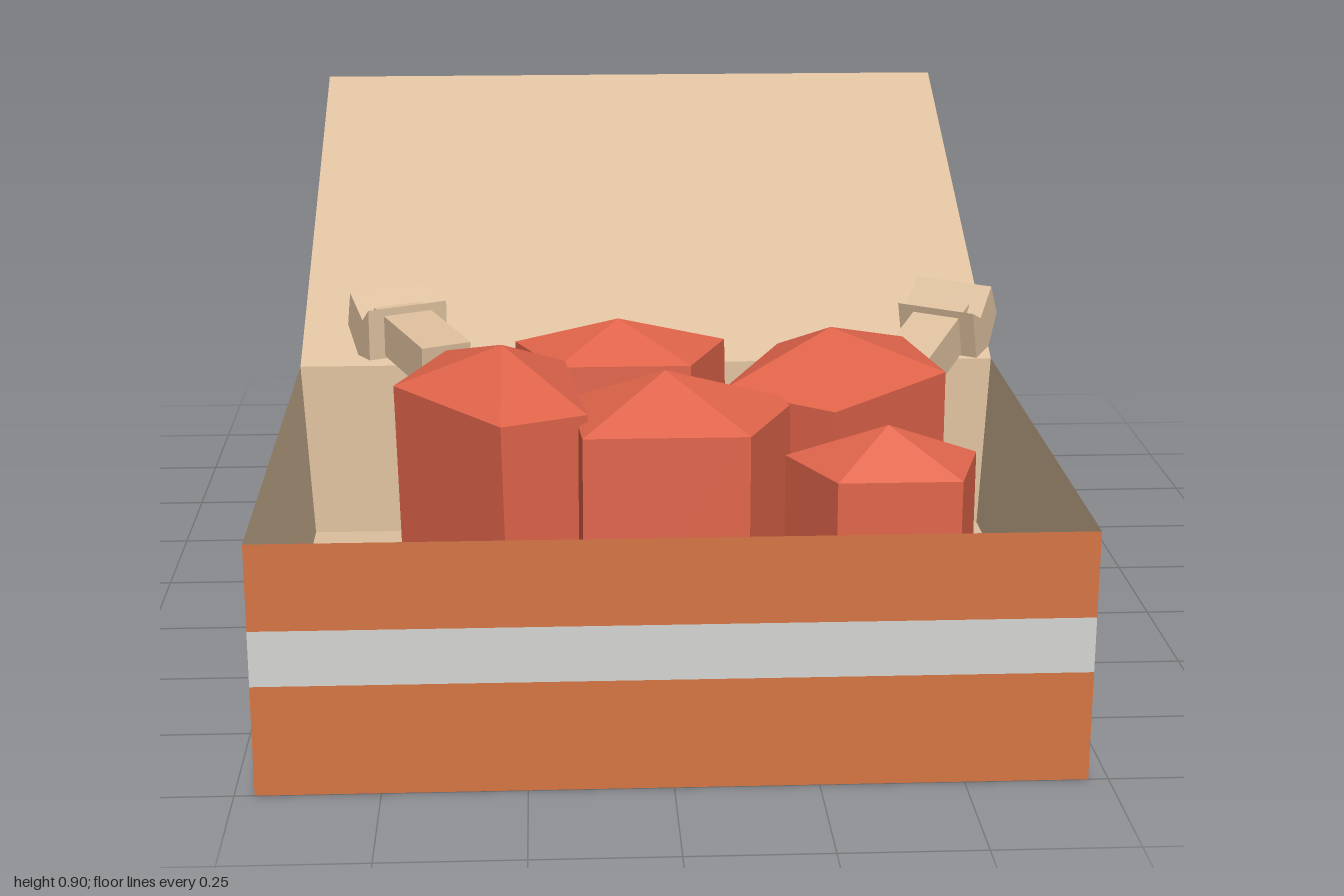
import * as THREE from 'three';

const material = (name, color, side = THREE.FrontSide) => {
  const m = new THREE.MeshStandardMaterial({ color, side, flatShading: true });
  m.name = name;
  return m;
};

const W = 1.43, D = 1.04, H = 0.455, CZ = 0.48, FLOOR = 0.1;

// Open four-sided wall ring; inset narrows its lower edge
function wallRing(y0, y1, inset) {
  const g = new THREE.CylinderGeometry(Math.SQRT1_2, Math.SQRT1_2, 1, 4, 1, true).rotateY(Math.PI / 4);
  const p = g.attributes.position;
  for (let i = 0; i < p.count; i++) {
    const low = p.getY(i) < 0;
    const k = low ? 2 * inset : 0;
    p.setXYZ(i, Math.sign(p.getX(i)) * (W - k) / 2, low ? y0 : y1, CZ + Math.sign(p.getZ(i)) * (D - k) / 2);
  }
  g.computeVertexNormals();
  return g;
}

// Five-sided chunk: pointed cap over straight sides.
// ring holds [x, z] clockwise from above; shift moves the foot
function chunkGeometry(apex, eave, ring, shift) {
  const v = [];
  ring.forEach(([x, z], i) => {
    const [x2, z2] = ring[(i + 1) % ring.length];
    const a = [x, eave, z], b = [x2, eave, z2];
    const c = [x + shift[0], FLOOR, z + shift[1]], d = [x2 + shift[0], FLOOR, z2 + shift[1]];
    v.push(...apex, ...b, ...a, ...a, ...b, ...d, ...a, ...d, ...c);
  });
  const g = new THREE.BufferGeometry();
  g.setAttribute('position', new THREE.Float32BufferAttribute(v, 3));
  g.computeVertexNormals();
  return g;
}

export function createModel() {
  const model = new THREE.Group();
  const orange = material('orange shell', 0xd67543, THREE.DoubleSide);
  const grey = material('grey band', 0xd5d5d3, THREE.DoubleSide);
  const tan = material('tan', 0xdcbf9d, THREE.DoubleSide);
  const red = material('red', 0xe0644a);

  const add = (parent, name, geometry, mat) => {
    const mesh = new THREE.Mesh(geometry, mat);
    mesh.name = name;
    parent.add(mesh);
    return mesh;
  };

  // Box shell with a band round the middle, lined inside
  add(model, 'lowerWalls', wallRing(0, 0.2, 0), orange);
  add(model, 'bandWalls', wallRing(0.2, 0.3, 0), grey);
  add(model, 'upperWalls', wallRing(0.3, H, 0), orange);
  add(model, 'liningWalls', wallRing(FLOOR, H, 0.02), tan);
  const floor = add(model, 'boxFloor', new THREE.PlaneGeometry(W - 0.04, D - 0.04).rotateX(-Math.PI / 2), tan);
  floor.position.set(0, FLOOR, CZ);

  // Open lid hinged on the back edge
  const lid = new THREE.Group();
  lid.name = 'lid';
  lid.position.set(0, H, -0.04);
  lid.rotation.x = 0.437;
  const slab = add(lid, 'lidSlab', new THREE.BoxGeometry(W, 0.035, 1.043),
    [orange, orange, tan, orange, orange, tan]);
  slab.position.set(0, -0.0175, -0.5215);
  model.add(lid);

  // Chunks filling the box
  const chunks = [
    ['leftFrontChunk', [-0.29, 0.67, 0.57], 0.592,
      [[-0.4, 0.33], [-0.175, 0.41], [-0.14, 0.75], [-0.29, 0.815], [-0.487, 0.56]], [0.01, -0.02]],
    ['backChunk', [-0.07, 0.628, 0.245], 0.57,
      [[-0.07, 0.06], [0.14, 0.195], [0.063, 0.38], [-0.19, 0.38], [-0.27, 0.195]], [0.01, 0.015]],
    ['middleChunk', [0, 0.647, 0.667], 0.572,
      [[0, 0.49], [0.24, 0.61], [0.14, 0.825], [-0.15, 0.825], [-0.17, 0.58]], [0, 0.008]],
    ['rightChunk', [0.32, 0.66, 0.44], 0.575,
      [[0.24, 0.25], [0.49, 0.21], [0.535, 0.46], [0.3, 0.7], [0.11, 0.555]], [0.005, -0.015]],
    ['smallChunk', [0.385, 0.572, 0.767], 0.505,
      [[0.395, 0.625], [0.55, 0.72], [0.5, 0.882], [0.285, 0.882], [0.21, 0.725]], [0, 0.008]],
  ];
  for (const [name, apex, eave, ring, shift] of chunks) {
    add(model, name, chunkGeometry(apex, eave, ring, shift), red);
  }

  // Bones: a square shaft ending in a notched knob
  const knobShape = new THREE.Shape([
    [0.065, -0.01], [0.055, 0.06], [-0.01, 0.025], [-0.04, 0.055], [-0.05, -0.045], [0.01, -0.055],
  ].map(([a, u]) => new THREE.Vector2(a, u)));
  const bones = [
    ['rightBone', [0.605, 0.56, 0.04], 0.985, 0.35],
    ['leftBone', [-0.5, 0.585, 0.12], 2.02, 0.1],
  ];
  for (const [name, position, yaw, pitch] of bones) {
    const bone = new THREE.Group();
    bone.name = name;
    bone.position.set(...position);
    bone.rotation.set(0, yaw, pitch, 'YXZ');
    const knob = new THREE.ExtrudeGeometry(knobShape, { depth: 0.165, bevelEnabled: false });
    add(bone, 'boneKnob', knob.translate(0, 0, -0.0825), tan);
    add(bone, 'boneShaft', new THREE.BoxGeometry(0.24, 0.08, 0.1).translate(-0.11, 0, 0), tan);
    model.add(bone);
  }

  return model;
}
